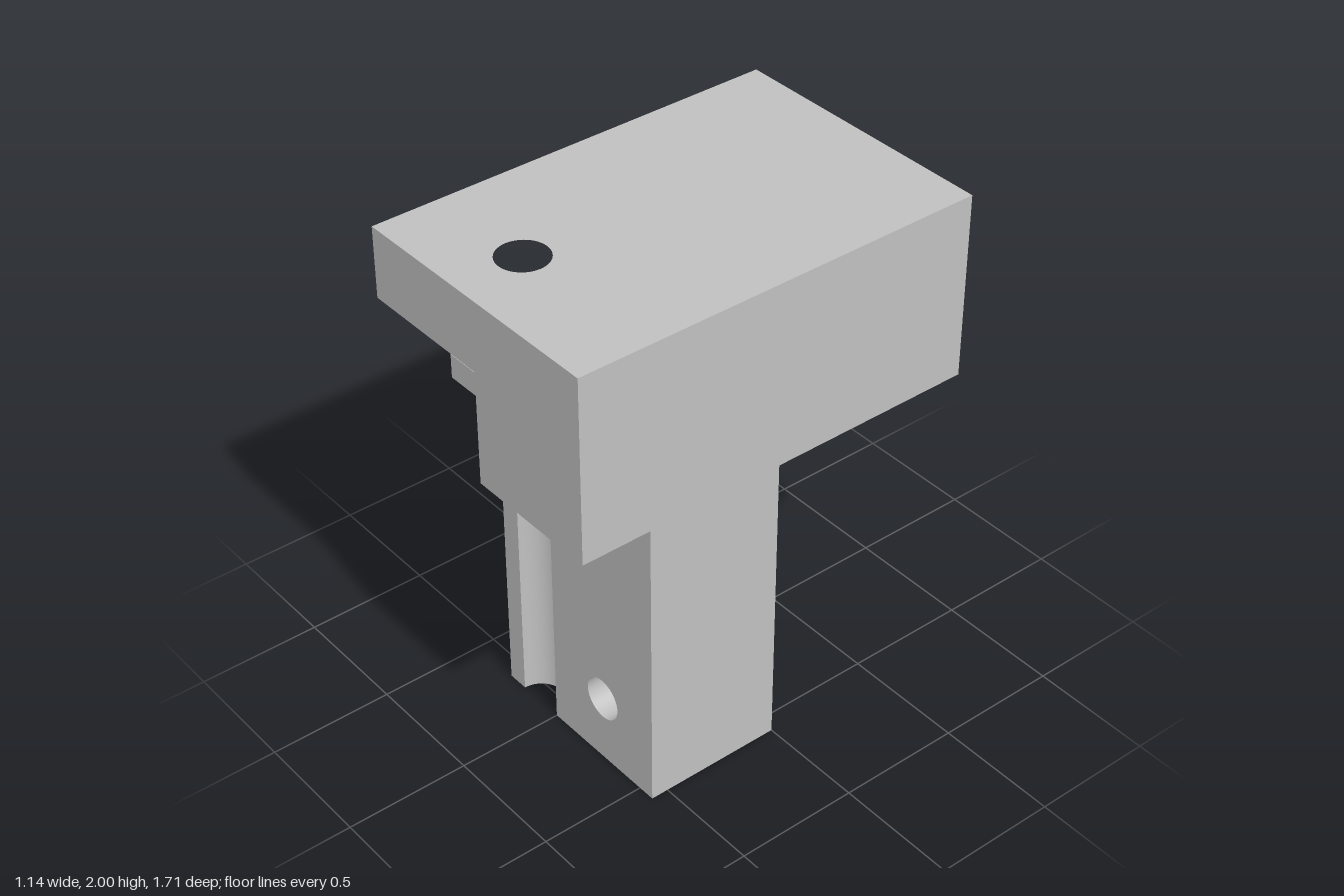
import * as THREE from 'three';
import { toCreasedNormals } from 'three/addons/utils/BufferGeometryUtils.js';

const W = 0.571, D = 0.857;                        // half width and half depth of the head
const Y = { neck: 1.243, floor: 1.345, slot: 1.71, top: 2 };
const STEM_LEFT = -0.286, FRONT = 0.571;           // stem side and front planes
const PIN = { x: -0.1, z: FRONT, r: 0.1 };         // small vertical bore
const BORE = { x: -0.1, z: -0.07, r: 0.235 };      // large vertical bore
const SPLIT = 0.15;                                // joint between the two stem halves

// Points [x, z] along a circle
function arc(c, a0, a1, n = 24) {
  return Array.from({ length: n + 1 }, (_, i) => {
    const a = a0 + (a1 - a0) * i / n;
    return [c.x + c.r * Math.cos(a), c.z + c.r * Math.sin(a)];
  });
}

const toVectors = (pts, flip) => pts.map(([a, b]) => new THREE.Vector2(a, flip ? -b : b));

function extrude(outline, hole, depth, flip) {
  const shape = new THREE.Shape(toVectors(outline, flip));
  if (hole) shape.holes.push(new THREE.Path(toVectors(hole, flip)));
  return new THREE.ExtrudeGeometry(shape, { depth, bevelEnabled: false });
}

// Raise a plan outline of [x, z] points from y0 to y1
function layer(outline, hole, y0, y1) {
  return extrude(outline, hole, y1 - y0, true).rotateX(-Math.PI / 2).translate(0, y0, 0);
}

const circle = (c) => arc(c, 0, Math.PI * 2, 48).slice(0, -1);

export function createModel() {
  const group = new THREE.Group();
  const grey = new THREE.MeshStandardMaterial({ color: 0xc0c0c0 });
  grey.name = 'grey';

  const add = (name, geometry) => {
    const mesh = new THREE.Mesh(toCreasedNormals(geometry, 0.5), grey);
    mesh.name = name;
    group.add(mesh);
  };

  const frontGroove = arc(PIN, Math.PI, Math.PI * 2);

  // Head: top slab with the pin hole
  add('topSlab', layer([[-W, -D], [W, -D], [W, D], [-W, D]], circle(PIN), Y.slot, Y.top));

  // Head: side block and back wall around the open slot
  add('slotWalls', layer(
    [[-W, -D], [W, -D], [W, D], [0, D], [0, -0.686], [-W, -0.686]], null, Y.floor, Y.slot));

  // Head: slot floor with the large bore and the front half groove
  add('slotFloor', layer(
    [[-W, -D], [W, -D], [W, D], [0, D], ...frontGroove.slice().reverse(), [-W, FRONT]],
    circle(BORE), Y.neck, Y.floor));

  // Stem: grooved half, cut by both vertical bores
  const start = Math.asin(-BORE.z / BORE.r);
  const end = Math.acos((STEM_LEFT - BORE.x) / BORE.r);
  add('groovedStem', layer(
    [[SPLIT, 0], ...arc(BORE, start, end), [STEM_LEFT, FRONT], ...frontGroove, [SPLIT, FRONT]],
    null, 0, Y.neck));

  // Stem: plain half with the front-to-back cross hole
  add('drilledStem', extrude(
    [[SPLIT, 0], [W, 0], [W, Y.neck], [SPLIT, Y.neck]],
    circle({ x: 0.286, z: 0.286, r: 0.087 }), FRONT, false));

  return group;
}
